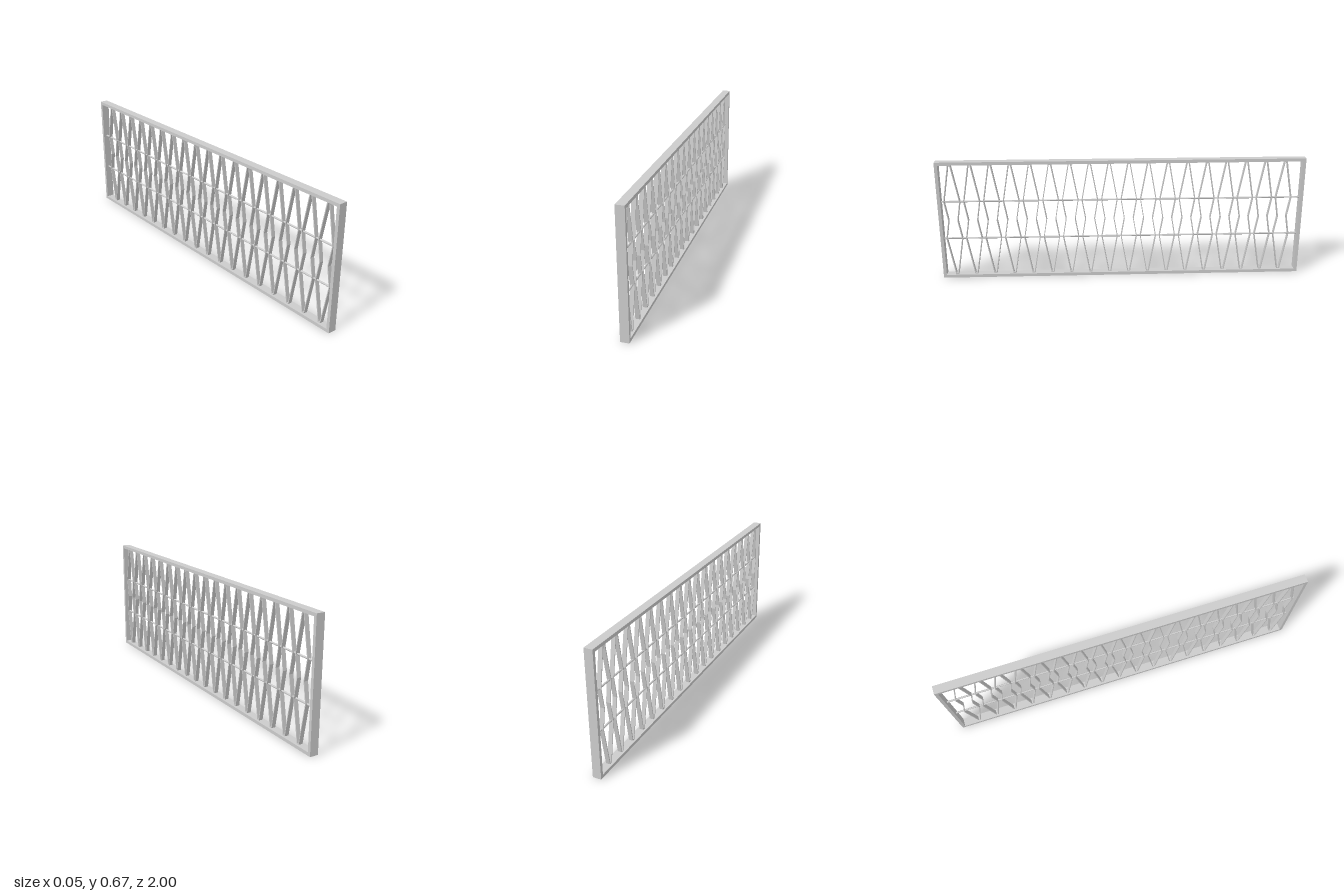
import * as THREE from 'three';

const H = 0.667, DEPTH = 0.045, T = 0.017;
const RAIL_Y = [0.229, 0.442];
const material = new THREE.MeshStandardMaterial({ color: 0xcccccc, flatShading: true });

function add(group, name, geometry, x = 0, y = 0, z = 0) {
  const mesh = new THREE.Mesh(geometry, material);
  mesh.name = name;
  mesh.position.set(x, y, z);
  group.add(mesh);
  return mesh;
}

// Extrude a (z, y) shape so that its depth is centred on x = 0
function extrudeAcross(shape, depth) {
  const g = new THREE.ExtrudeGeometry(shape, { depth, bevelEnabled: false });
  g.translate(0, 0, -depth / 2);
  g.rotateY(-Math.PI / 2); // shape x -> +z
  return g;
}

// Symmetric closed outline from [halfWidth, y] rows
function mirrored(rows) {
  return [...rows, ...[...rows].reverse().map(([w, y]) => [-w, y])]
    .map(([z, y]) => new THREE.Vector2(z, y));
}

// Bent flat strip: wide at the rails, pinched at mid height, narrow at the ends
function stripGeometry() {
  const t = 0.0045, mid = H / 2;
  const rows = [
    [0.008, T], [0.045, RAIL_Y[0]], [0.027, mid], [0.045, RAIL_Y[1]], [0.008, H - T],
  ];
  const inner = rows.map(([w, y], i) => [w - t, i === 0 ? y + t : i === 4 ? y - t : y]);
  const shape = new THREE.Shape(mirrored(rows));
  shape.holes.push(new THREE.Path(mirrored(inner)));
  return extrudeAcross(shape, 0.022);
}

export function createModel() {
  const model = new THREE.Group();
  model.name = 'grillePanel';

  // Outer frame
  const outline = new THREE.Shape(mirrored([[1, 0], [1, H]]));
  outline.holes.push(new THREE.Path(mirrored([[1 - T, T], [1 - T, H - T]])));
  add(model, 'frame', extrudeAcross(outline, DEPTH));

  // Two horizontal rails
  const rail = new THREE.CylinderGeometry(0.005, 0.005, 2 - 2 * T, 10).rotateX(Math.PI / 2);
  RAIL_Y.forEach((y) => add(model, 'rail', rail, 0, y, 0));

  // Row of bent strips
  const strips = new THREE.Group();
  strips.name = 'strips';
  const strip = stripGeometry();
  for (let i = 0; i < 18; i++) add(strips, 'bentStrip', strip, 0, 0, 0.925 - i * 0.107);
  model.add(strips);

  return model;
}
